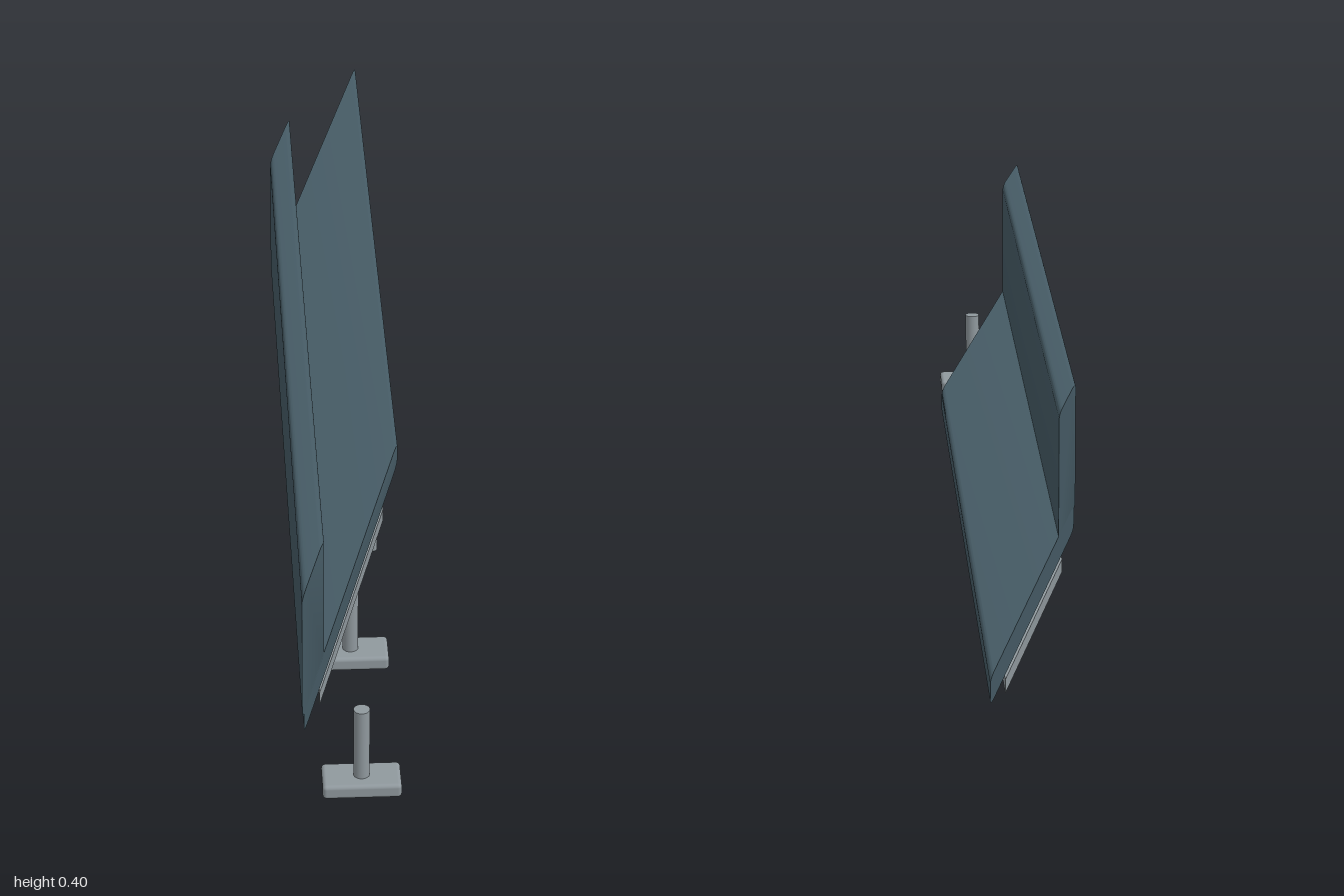
import * as THREE from 'three';
import { RoundedBoxGeometry } from 'three/addons/geometries/RoundedBoxGeometry.js';
import { toCreasedNormals } from 'three/addons/utils/BufferGeometryUtils.js';

const LENGTH = 1.28; // run of the bench along z
const SKEW = -4; // z shift per unit of x, giving the slanted ends

const fabric = new THREE.MeshStandardMaterial({ color: 0x455a64 });
const metal = new THREE.MeshStandardMaterial({ color: 0x90999e });

// Rectangle outline with rounded corners of radius r
function roundedRect(x0, x1, y0, y1, r) {
  const s = new THREE.Shape();
  if (r === 0) {
    return s.moveTo(x0, y0).lineTo(x1, y0).lineTo(x1, y1).lineTo(x0, y1).closePath();
  }
  s.absarc(x1 - r, y0 + r, r, -Math.PI / 2, 0);
  s.absarc(x1 - r, y1 - r, r, 0, Math.PI / 2);
  s.absarc(x0 + r, y1 - r, r, Math.PI / 2, Math.PI);
  s.absarc(x0 + r, y0 + r, r, Math.PI, Math.PI * 1.5);
  return s.closePath();
}

// Bar running along z, sheared so both ends are cut at a slant
function skewedBar(name, material, x0, x1, y0, y1, r) {
  const geo = new THREE.ExtrudeGeometry(roundedRect(x0, x1, y0, y1, r), {
    depth: LENGTH, bevelEnabled: false, curveSegments: 5,
  });
  geo.translate(0, 0, -LENGTH / 2);
  const pos = geo.attributes.position;
  for (let i = 0; i < pos.count; i++) pos.setZ(i, pos.getZ(i) + SKEW * pos.getX(i));
  const mesh = new THREE.Mesh(toCreasedNormals(geo, 0.6), material);
  mesh.name = name;
  return mesh;
}

// Floor foot with a round post
function createLeg(z) {
  const leg = new THREE.Group();
  leg.name = 'leg';
  const foot = new THREE.Mesh(new RoundedBoxGeometry(0.116, 0.023, 0.061, 3, 0.006), metal);
  foot.name = 'foot';
  foot.position.y = 0.0115;
  const post = new THREE.Mesh(new THREE.CylinderGeometry(0.012, 0.012, 0.122, 24), metal);
  post.name = 'post';
  post.position.y = 0.079;
  leg.add(foot, post);
  leg.position.z = z;
  return leg;
}

export function createModel() {
  const bench = new THREE.Group();
  bench.name = 'bench';
  bench.add(
    skewedBar('seat', fabric, -0.087, 0.089, 0.161, 0.202, 0.008),
    skewedBar('backrest', fabric, -0.09, -0.052, 0.194, 0.4, 0.008),
    skewedBar('supportRail', metal, -0.06, 0.06, 0.132, 0.153, 0),
  );
  // Four evenly spaced legs, starting at the front
  for (let i = 0; i < 4; i++) bench.add(createLeg(0.905 - i * 0.321));
  return bench;
}
